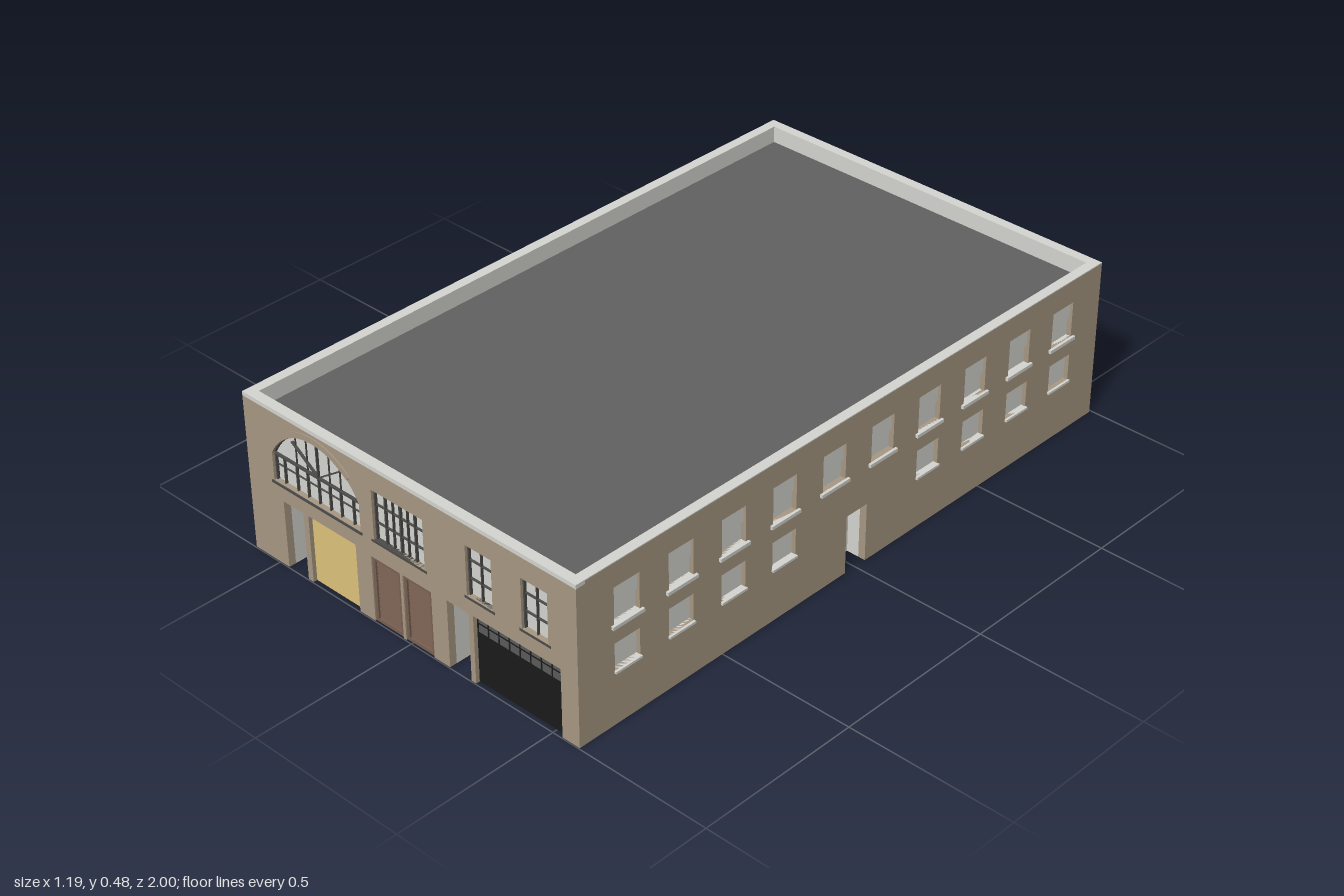
import * as THREE from 'three';

const mat = (name, color, side = THREE.FrontSide) => {
  const m = new THREE.MeshStandardMaterial({ color, side });
  m.name = name;
  return m;
};
const brick = mat('brown wall', 0xa99984);
const stone = mat('light grey', 0xd6d6d2);
const roofMat = mat('dark grey roof', 0x626262);
const frame = mat('charcoal frame', 0x4c4c4b);
const yellow = mat('yellow panel', 0xdfc47c);
const black = mat('black garage', 0x1b1b1b);
const shutter = mat('brown shutter', 0x7a6052);
const slot = mat('dark louvre gap', 0x42342e);
const smoked = mat('smoked glass', 0x5a5c5b);

// Overall wall extents
const X0 = -0.597, X1 = 0.588, Z0 = -0.993, Z1 = 0.997, H = 0.48;
const OUT = 0.022, LINE = 0.008, T = OUT + LINE, ROOF = 0.43;

function add(parent, name, geo, material) {
  const m = new THREE.Mesh(geo, material);
  m.name = name;
  parent.add(m);
  return m;
}
function box(parent, name, material, x0, x1, y0, y1, z0, z1) {
  const m = add(parent, name, new THREE.BoxGeometry(x1 - x0, y1 - y0, z1 - z0), material);
  m.position.set((x0 + x1) / 2, (y0 + y1) / 2, (z0 + z1) / 2);
  return m;
}
// One-sided face, turned by rx and ry from facing +z
function face(parent, name, material, w, h, x, y, z, rx, ry) {
  const m = add(parent, name, new THREE.PlaneGeometry(w, h), material);
  m.position.set(x, y, z);
  m.rotation.set(rx, ry, 0);
}
// Flat bar between two points in the wall plane
function bar(parent, name, material, xa, ya, xb, yb, w, z0, z1) {
  const m = add(parent, name, new THREE.BoxGeometry(Math.hypot(xb - xa, yb - ya), w, z1 - z0), material);
  m.position.set((xa + xb) / 2, (ya + yb) / 2, (z0 + z1) / 2);
  m.rotation.z = Math.atan2(yb - ya, xb - xa);
}
// Wall slab with notches from the ground (doors) and holes (windows); outer face at z = zFront
function wall(parent, name, material, x0, x1, top, doors, holes, zFront, depth) {
  const s = new THREE.Shape();
  s.moveTo(x0, 0);
  for (const [a, b, h] of [...doors].sort((p, q) => p[0] - q[0])) {
    s.lineTo(a, 0); s.lineTo(a, h); s.lineTo(b, h); s.lineTo(b, 0);
  }
  s.lineTo(x1, 0); s.lineTo(x1, top); s.lineTo(x0, top); s.closePath();
  s.holes = holes;
  const g = new THREE.ExtrudeGeometry(s, { depth, bevelEnabled: false, curveSegments: 24 });
  add(parent, name, g, material).position.z = zFront - depth;
}
function rect(x0, x1, y0, y1) {
  return new THREE.Path([[x0, y0], [x1, y0], [x1, y1], [x0, y1]].map(p => new THREE.Vector2(...p)));
}
// Door set back in a porch whose faces show only from the doorway
function recessedDoor(parent, [a, b, h], depth, transom) {
  const g = new THREE.Group();
  g.name = 'recessedDoor';
  parent.add(g);
  const len = depth - T, zm = -(depth + T) / 2, xm = (a + b) / 2;
  face(g, 'porchSide', stone, len, h, a, h / 2, zm, 0, Math.PI / 2);
  face(g, 'porchSide', stone, len, h, b, h / 2, zm, 0, -Math.PI / 2);
  face(g, 'porchCeiling', stone, b - a, len, xm, h, zm, Math.PI / 2, 0);
  face(g, 'door', stone, b - a, h, xm, h / 2, -depth, 0, 0);
  box(g, 'doorEdge', frame, a, a + 0.004, 0, transom || h, -depth, -depth + 0.008);
  if (transom) box(g, 'transomBar', frame, a, b, transom - 0.003, transom, -depth, -depth + 0.008);
}
// Plain side or back wall with two rows of windows and one door
function plainWall(parent, name, x0, x1, inset, upper, lower, door) {
  const g = new THREE.Group();
  g.name = name;
  parent.add(g);
  const hw = 0.043;
  const holes = [...upper.map(x => rect(x - hw, x + hw, 0.3, 0.407)),
    ...lower.map(x => rect(x - hw, x + hw, 0.163, 0.243))];
  wall(g, 'outerWall', brick, x0 + inset, x1 - inset, H - 0.003, [door], holes, 0, OUT);
  wall(g, 'innerWall', stone, x0 + OUT, x1 - OUT, H - 0.003, [door], [], -OUT, LINE);
  for (const x of upper) {
    box(g, 'lowerSash', stone, x - hw, x + hw, 0.3, 0.355, -OUT, -0.016);
    box(g, 'upperSash', stone, x - hw, x + hw, 0.353, 0.407, -OUT, -0.009);
    box(g, 'upperSill', stone, x - 0.053, x + 0.053, 0.29, 0.3, -OUT, 0.008);
  }
  for (const x of lower) {
    box(g, 'lowerPane', stone, x - hw, x + hw, 0.163, 0.243, -OUT, -0.013);
    box(g, 'lowerSill', stone, x - hw - 0.002, x + hw + 0.002, 0.156, 0.163, -OUT, 0.007);
  }
  recessedDoor(g, door, 0.06);
  return g;
}
// Dark-framed window with a grid of glazing bars
function gridWindow(parent, x0, x1, y0, y1, cols, rows) {
  const g = new THREE.Group();
  g.name = 'gridWindow';
  parent.add(g);
  const a = -0.016, b = -0.008, f = 0.004;
  box(g, 'glass', stone, x0, x1, y0, y1, -OUT, a);
  box(g, 'frameSide', frame, x0, x0 + f, y0, y1, a, b);
  box(g, 'frameSide', frame, x1 - f, x1, y0, y1, a, b);
  box(g, 'frameTop', frame, x0, x1, y1 - f, y1, a, b);
  for (const c of cols) box(g, 'mullion', frame, c[0] - c[1] / 2, c[0] + c[1] / 2, y0, y1, a, b);
  for (const r of rows) box(g, 'glazingBar', frame, x0, x1, r - 0.0015, r + 0.0015, a, b - 0.002);
  box(g, 'sill', frame, x0 - 0.008, x1 + 0.008, y0 - 0.007, y0, -OUT, 0.001);
}

function frontWall(parent) {
  const g = new THREE.Group();
  g.name = 'frontWall';
  parent.add(g);
  const doors = [[-0.467, -0.391, 0.205], [0.138, 0.215, 0.205]];
  const bays = [[-0.372, -0.193, 0.206], [-0.136, -0.031, 0.2], [-0.021, 0.082, 0.2], [0.231, 0.53, 0.206]];

  // Arched window geometry
  const cx = -0.333, cy = 0.257, R = 0.184, hw = 0.164, y0 = 0.257, spring = 0.335;
  const edge = x => cy + Math.sqrt(R * R - (x - cx) ** 2);
  const a0 = Math.acos(hw / R);
  const arch = p => {
    p.moveTo(cx - hw, y0); p.lineTo(cx + hw, y0); p.lineTo(cx + hw, edge(cx + hw));
    p.absarc(cx, cy, R, a0, Math.PI - a0, false);
    p.lineTo(cx - hw, y0);
    return p;
  };
  const holes = [arch(new THREE.Path()), rect(-0.12, 0.064, y0, 0.407), rect(0.213, 0.302, y0, 0.407), rect(0.402, 0.491, y0, 0.407)];
  wall(g, 'outerWall', brick, X0, X1, H - 0.012, [...doors, ...bays], holes, 0, OUT);
  wall(g, 'innerWall', stone, X0 + OUT, X1 - OUT, H - 0.012, doors, [], -OUT, LINE);
  for (const d of doors) recessedDoor(g, d, 0.08, 0.17);

  // Arched window
  add(g, 'archGlass', new THREE.ExtrudeGeometry(arch(new THREE.Shape()), { depth: 0.006, bevelEnabled: false, curveSegments: 24 }), stone).position.z = -OUT;
  const ring = (r0, r1, a) => {
    const s = new THREE.Shape();
    s.absarc(cx, cy, r1, a, Math.PI - a, false);
    s.absarc(cx, cy, r0, Math.PI - a, a, true);
    return s;
  };
  const za = -0.016, zb = -0.008;
  add(g, 'archFrame', new THREE.ExtrudeGeometry(ring(R - 0.002, R, a0), { depth: 0.008, bevelEnabled: false, curveSegments: 24 }), frame).position.z = za;
  add(g, 'archHood', new THREE.ExtrudeGeometry(ring(R + 0.002, R + 0.019, 0.83), { depth: 0.011, bevelEnabled: false, curveSegments: 24 }), brick).position.z = -0.008;
  box(g, 'archTransom', frame, cx - hw, cx + hw, spring - 0.003, spring + 0.002, za, zb);
  box(g, 'archSill', frame, cx - hw - 0.006, cx + hw + 0.006, 0.25, y0, -OUT, 0.003);
  for (const s of [-1, 1]) {
    box(g, 'archFrameSide', frame, cx + s * (hw - 0.002) - 0.002, cx + s * (hw - 0.002) + 0.002, y0, spring, za, zb);
    for (const d of [0.042, 0.083, 0.13]) {
      box(g, 'lowerMullion', frame, cx + s * d - 0.0015, cx + s * d + 0.0015, y0, spring, za, zb);
      if (d < 0.1) box(g, 'upperMullion', frame, cx + s * d - 0.0006, cx + s * d + 0.0006, spring, edge(cx + s * d), za, zb - 0.003);
    }
    bar(g, 'fanBar', frame, cx, spring, cx + s * 0.095, spring + 0.066, 0.003, za, zb);
  }
  box(g, 'centreMullion', frame, cx - 0.0015, cx + 0.0015, y0, cy + R, za, zb);
  box(g, 'lowerGlazingBar', frame, cx - hw, cx + hw, 0.303, 0.3045, za, zb - 0.003);

  // Square-headed windows
  const rows = [0.306, 0.36];
  gridWindow(g, -0.12, 0.064, y0, 0.407,
    [[-0.082, 0.004], [-0.055, 0.0015], [-0.028, 0.005], [-0.002, 0.0015], [0.025, 0.004]], rows);
  for (const x of [0.213, 0.402]) gridWindow(g, x, x + 0.089, y0, 0.407, [[x + 0.0445, 0.002]], rows);

  // Yellow panel
  box(g, 'yellowPanel', yellow, bays[0][0], bays[0][1], 0, bays[0][2], -OUT, -0.012);

  // Louvred shutters
  for (const [a, b, h] of [bays[1], bays[2]]) {
    const f = 0.01;
    box(g, 'shutterBack', slot, a, b, 0, h, -OUT, -0.014);
    box(g, 'shutterStile', shutter, a, a + f, 0, h, -0.014, -0.004);
    box(g, 'shutterStile', shutter, b - f, b, 0, h, -0.014, -0.004);
    box(g, 'shutterRail', shutter, a + f, b - f, 0, f, -0.014, -0.004);
    box(g, 'shutterRail', shutter, a + f, b - f, h - f, h, -0.014, -0.004);
    for (let i = 0; i < 17; i++) {
      const y = f + (i + 0.5) * (h - 2 * f) / 17;
      box(g, 'slat', shutter, a + f, b - f, y - 0.0037, y + 0.0037, -0.012, -0.009).rotation.x = -0.2;
    }
  }

  // Garage door with two rows of lights
  const [ga, gb, gh] = bays[3];
  box(g, 'garageDoor', black, ga, gb, 0, gh, -OUT, -0.012);
  const pitch = (gb - ga - 0.008) / 8;
  for (let i = 0; i < 8; i++) {
    const x = ga + 0.004 + i * pitch;
    for (const [lo, hi] of [[0.156, 0.178], [0.184, 0.202]])
      box(g, 'garageLight', smoked, x + 0.003, x + pitch - 0.003, lo, hi, -0.013, -0.011);
  }
  return g;
}

export function createModel() {
  const model = new THREE.Group();
  model.name = 'building';

  frontWall(model).position.z = Z1;

  // Left wall (+x), local x runs towards the back
  const sideUpper = Array.from({ length: 10 }, (_, i) => -0.832 + i * 1.664 / 9);
  const left = plainWall(model, 'windowedSideWall', -Z1, -Z0, OUT, sideUpper,
    sideUpper.filter((_, i) => i < 4 || i > 5), [-0.039, 0.039, 0.177]);
  left.rotation.y = Math.PI / 2;
  left.position.x = X1;

  // Back wall, local x is mirrored
  const backUpper = Array.from({ length: 6 }, (_, i) => -0.427 + i * 0.173);
  const back = plainWall(model, 'backWall', -X1, -X0, 0, backUpper,
    backUpper.filter((_, i) => i < 2 || i > 3), [-0.035, 0.051, 0.177]);
  back.rotation.y = Math.PI;
  back.position.z = Z0;

  // Blank wall
  box(model, 'blankWall', brick, X0, X0 + OUT, 0, H - 0.003, Z0 + OUT, Z1 - OUT);
  box(model, 'blankInnerWall', stone, X0 + OUT, X0 + T, 0, H - 0.003, Z0 + OUT, Z1 - OUT);

  // Parapet coping, taller along the front
  box(model, 'frontCoping', stone, X0, X1, H - 0.012, H, Z1 - T, Z1);
  box(model, 'backCoping', stone, X0, X1, H - 0.003, H, Z0, Z0 + T);
  for (const x of [X0, X1 - T]) box(model, 'sideCoping', stone, x, x + T, H - 0.003, H, Z0 + T, Z1 - T);

  // Flat roof behind the parapet, with a pale ceiling beneath
  box(model, 'roof', roofMat, X0 + T, X1 - T, ROOF - 0.003, ROOF, Z0 + T, Z1 - T);
  box(model, 'ceiling', stone, X0 + T, X1 - T, ROOF - 0.006, ROOF - 0.003, Z0 + T, Z1 - T);
  return model;
}
